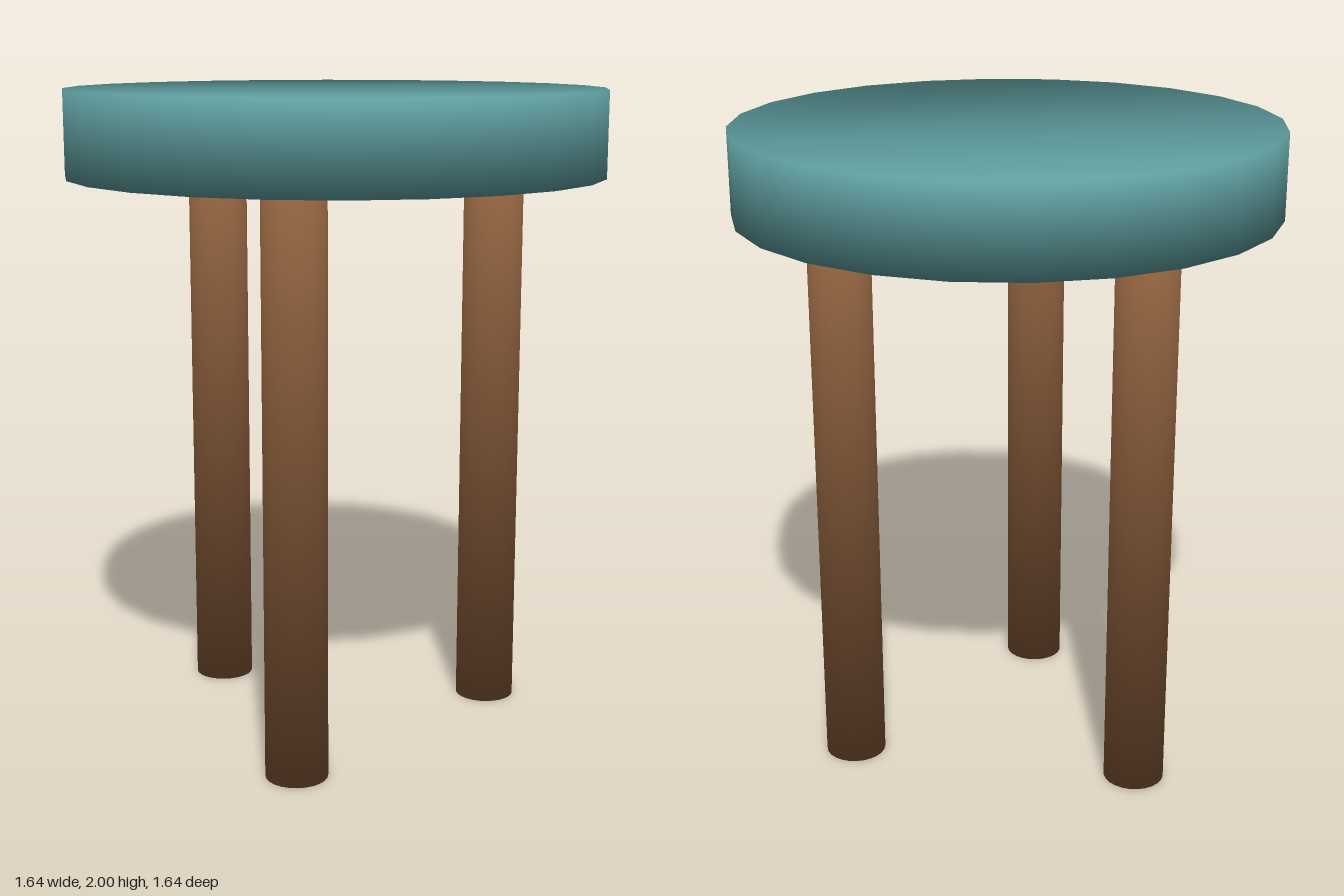
import * as THREE from 'three';

const SIDES = 24;

// Capped cylinder whose rim normals are shared by wall and cap, for soft shading.
function softCylinder(radius, y0, y1) {
  const positions = [], normals = [], index = [];
  for (const [y, ny] of [[y0, -0.68], [y1, 0.68]]) {
    for (let i = 0; i < SIDES; i++) {
      const a = (i / SIDES) * Math.PI * 2;
      const c = Math.cos(a), s = Math.sin(a);
      positions.push(radius * c, y, radius * s);
      normals.push(0.733 * c, ny, 0.733 * s);
    }
  }
  for (let i = 0; i < SIDES; i++) {
    const j = (i + 1) % SIDES;
    index.push(i, SIDES + i, j, j, SIDES + i, SIDES + j); // wall
    if (i > 0 && j > 0) {
      index.push(0, i, j); // bottom cap
      index.push(SIDES, SIDES + j, SIDES + i); // top cap
    }
  }
  const geometry = new THREE.BufferGeometry();
  geometry.setAttribute('position', new THREE.Float32BufferAttribute(positions, 3));
  geometry.setAttribute('normal', new THREE.Float32BufferAttribute(normals, 3));
  geometry.setIndex(index);
  return geometry;
}

export function createModel() {
  const teal = new THREE.MeshStandardMaterial({ color: 0x5f9ea0 });
  teal.name = 'teal seat';
  const brown = new THREE.MeshStandardMaterial({ color: 0x8b5e3c });
  brown.name = 'brown wood';

  const stool = new THREE.Group();
  stool.name = 'stool';

  // Round seat
  const seat = new THREE.Mesh(softCylinder(0.822, 1.74, 2), teal);
  seat.name = 'seat';
  stool.add(seat);

  // Three straight legs spaced evenly on a circle
  const legGeometry = softCylinder(0.094, 0, 1.74);
  ['leftLeg', 'frontRightLeg', 'backRightLeg'].forEach((name, i) => {
    const a = (i / 3) * Math.PI * 2;
    const leg = new THREE.Mesh(legGeometry, brown);
    leg.name = name;
    leg.position.set(0.523 * Math.cos(a), 0, 0.523 * Math.sin(a));
    stool.add(leg);
  });

  return stool;
}
